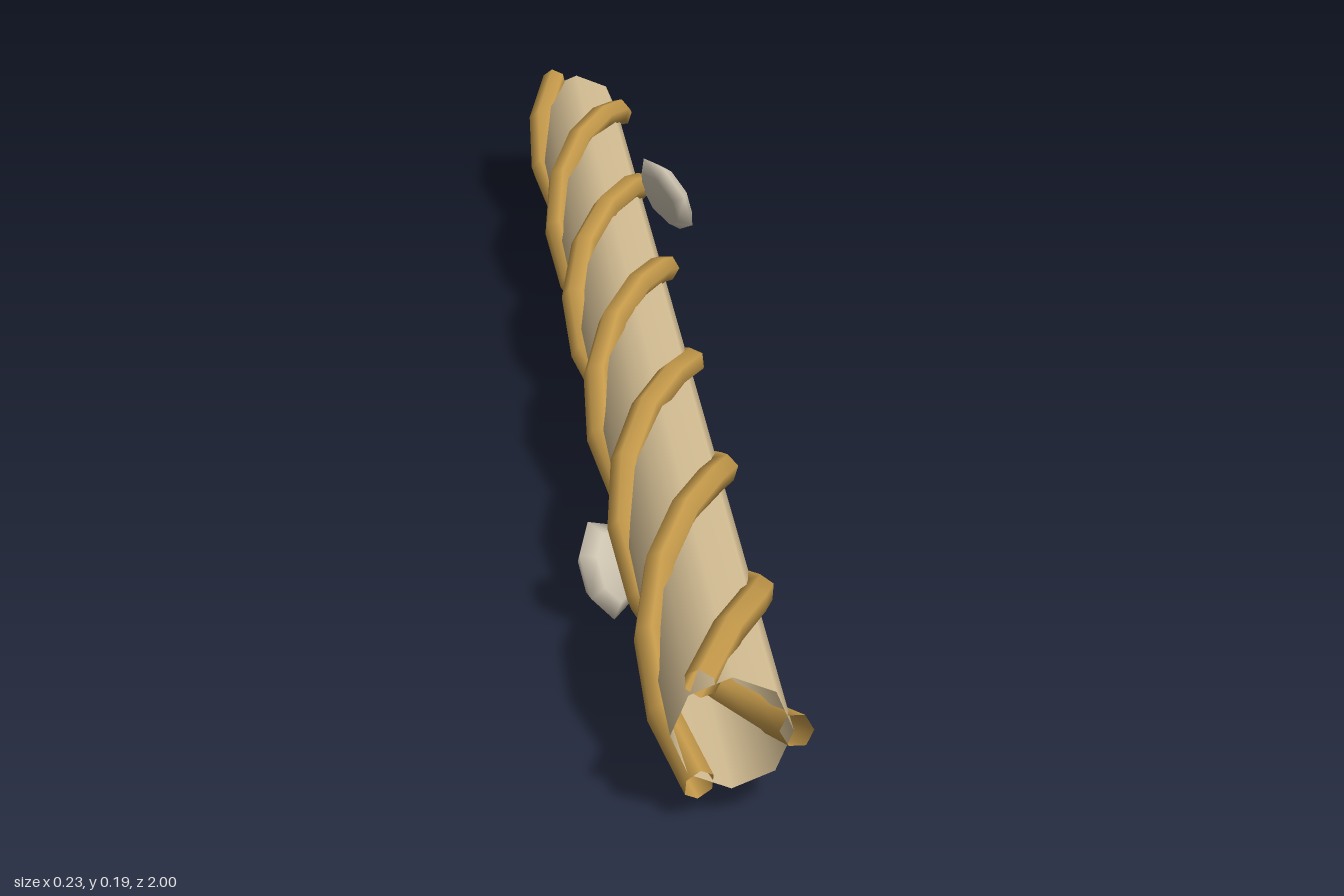
import * as THREE from 'three';

const AXIS_Y = 0.0945, HALF = 0.993;

// Helix running along z, two turns over the full length
class Helix extends THREE.Curve {
  constructor(phase) {
    super();
    this.phase = phase;
  }
  getPoint(t, target = new THREE.Vector3()) {
    const a = this.phase - t * Math.PI * 4;
    return target.set(0.065 * Math.cos(a), 0.065 * Math.sin(a), HALF * (1 - 2 * t));
  }
}

function material(name, color, side = THREE.FrontSide) {
  const m = new THREE.MeshStandardMaterial({ color, side });
  m.name = name;
  return m;
}

export function createModel() {
  const tan = material('paleTan', 0xd2bc92, THREE.DoubleSide);
  const ochre = material('ochre', 0xc4994a, THREE.DoubleSide);
  const bone = material('paleGrey', 0xcfc5b2);

  const model = new THREE.Group();
  model.name = 'twistedStaff';
  const add = (name, geometry, mat) => {
    const mesh = new THREE.Mesh(geometry, mat);
    mesh.name = name;
    mesh.position.y = AXIS_Y;
    model.add(mesh);
    return mesh;
  };

  // Hollow, open-ended core
  const core = new THREE.CylinderGeometry(0.062, 0.062, HALF * 2, 8, 1, true);
  core.rotateX(Math.PI / 2);
  add('core', core, tan);

  // Three strands wound round the core
  for (let i = 0; i < 3; i++) {
    const strand = new THREE.TubeGeometry(new Helix((i * Math.PI * 2) / 3), 20, 0.0175, 6, false);
    add('strand' + (i + 1), strand, ochre);
  }

  // Two flattened leaves on opposite sides
  for (const s of [1, -1]) {
    const geo = new THREE.SphereGeometry(0.058, 7, 4);
    geo.scale(1, 0.3, 1);
    const leaf = add(s > 0 ? 'leftLeaf' : 'rightLeaf', geo, bone);
    const normal = new THREE.Vector3(s * 0.87, s * 0.4, -0.43).normalize();
    leaf.quaternion.setFromUnitVectors(new THREE.Vector3(0, 1, 0), normal);
    leaf.position.set(s * 0.084, AXIS_Y + s * 0.044, -s * 0.502);
  }
  return model;
}
